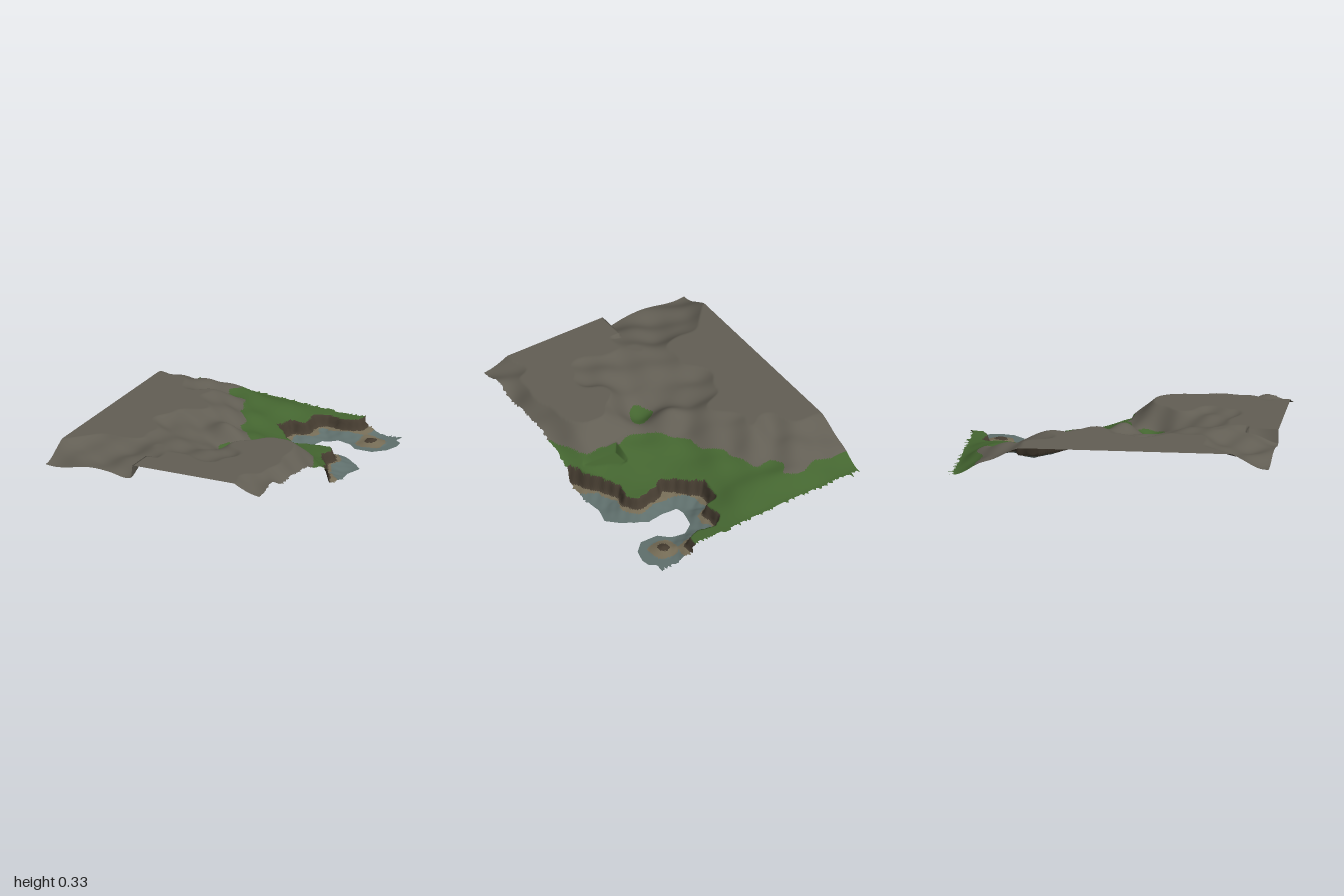
import * as THREE from 'three';

const X0 = -0.76, X1 = 0.76, Z0 = -0.95, Z1 = 1, NX = 152, NZ = 195, TOP = 0.33;

// Coarse land heights in hundredths: rows run back to front, columns left edge to right edge of the plan
const COLS = 11, ROWS = 13, LAND_X1 = 0.72;
const LAND = [
  15, 15, 14, 14, 13, 12, 11, 10, 10, 10, 10,
  22, 22, 23, 22, 18, 17, 12, 10, 10, 10, 10,
  29, 29, 28, 22, 20, 16, 11, 10, 10, 10, 10,
  35, 35, 29, 31, 23, 18, 13, 10, 10, 10, 10,
  36, 37, 36, 32, 28, 20, 15, 12, 11, 10, 10,
  37, 37, 37, 37, 31, 23, 19, 17, 15, 12, 10,
  37, 37, 37, 32, 27, 30, 23, 21, 21, 19, 12,
  37, 37, 36, 29, 28, 22, 20, 28, 35, 31, 20,
  37, 37, 37, 32, 30, 27, 27, 36, 38, 35, 24,
  37, 37, 36, 33, 32, 30, 31, 32, 36, 36, 26,
  37, 31, 29, 29, 32, 33, 32, 33, 35, 35, 26,
  29, 28, 26, 28, 30, 37, 37, 37, 37, 31, 31,
  24, 24, 27, 25, 26, 37, 37, 37, 37, 31, 27,
];

// Plan outlines as [x, z]: open water, and the low shore below the cliff
const SEA = [
  [0.7, -1.2], [0.7, -0.95], [0.69, -0.91], [0.735, -0.88], [0.745, -0.82], [0.72, -0.73], [0.65, -0.66],
  [0.53, -0.66], [0.47, -0.72], [0.38, -0.74], [0.3, -0.68], [0.27, -0.56], [0.28, -0.5],
  [0.4, -0.5], [0.5, -0.52], [0.58, -0.48], [0.66, -0.42], [0.72, -0.36], [0.69, -0.25],
  [0.713, -0.1], [0.713, 1.2], [1.5, 1.2], [1.5, -1.2],
];
const SHORE = [
  [0.45, -1.2], [0.45, -0.95], [0.44, -0.89], [0.37, -0.86], [0.24, -0.88], [0.17, -0.82], [0.18, -0.68],
  [0.09, -0.66], [0.08, -0.5], [0.15, -0.44], [0.21, -0.37], [0.29, -0.31], [0.35, -0.36], [0.5, -0.39],
  [0.54, -0.33], [0.52, -0.24], [0.58, -0.12], [0.64, -0.05], [0.67, 0.03], [0.7, 0.065], [1.5, 0.065], [1.5, -1.2],
];

// Nearest outline point and distance, positive inside
function probe(poly, x, z) {
  let best = Infinity, px = 0, pz = 0, inside = false;
  poly.forEach(([ax, az], i) => {
    const [bx, bz] = poly[(i + 1) % poly.length];
    const dx = bx - ax, dz = bz - az;
    const t = THREE.MathUtils.clamp(((x - ax) * dx + (z - az) * dz) / (dx * dx + dz * dz), 0, 1);
    const qx = ax + dx * t, qz = az + dz * t, d = Math.hypot(x - qx, z - qz);
    if (d < best) { best = d; px = qx; pz = qz; }
    if ((az > z) !== (bz > z) && x < ax + (z - az) / dz * dx) inside = !inside;
  });
  return { d: inside ? best : -best, x: px, z: pz };
}

const cubic = (a, b, c, d, t) =>
  b + 0.5 * t * (c - a + t * (2 * a - 5 * b + 4 * c - d + t * (3 * (b - c) + d - a)));

// Smooth land surface through the coarse heights
function landHeight(x, z) {
  const u = THREE.MathUtils.clamp((x - X0) / (LAND_X1 - X0), 0, 1) * (COLS - 1);
  const v = THREE.MathUtils.clamp((z - Z0) / (Z1 - Z0), 0, 1) * (ROWS - 1);
  const i = Math.min(Math.floor(u), COLS - 2), j = Math.min(Math.floor(v), ROWS - 2);
  const at = (c, r) => LAND[THREE.MathUtils.clamp(r, 0, ROWS - 1) * COLS + THREE.MathUtils.clamp(c, 0, COLS - 1)];
  const row = r => cubic(at(i - 1, r), at(i, r), at(i + 1, r), at(i + 2, r), u - i);
  const h = cubic(row(j - 1), row(j), row(j + 1), row(j + 2), v - j) / 100;
  const rough = THREE.MathUtils.smoothstep(h, 0.12, 0.22) * 0.006;
  return h + rough * (Math.sin(x * 23 + z * 9) + Math.sin(z * 27 - x * 13 + 1));
}

// Uneven distance past the cliff edge
const shoreDepth = (x, z) => probe(SHORE, x, z).d + 0.005 * Math.sin(x * 70) * Math.sin(z * 65);

// Land capped by the flat plateau, with a levelled pad and a sharp wall; a steep cliff drops to the beach
function height(x, z) {
  let land = Math.min(TOP, landHeight(x, z));
  if (x > 0.38 && x < 0.62 && z > -0.1 && z < 0.03) land = Math.min(land, 0.155);
  if (x > -0.165 && x < 0.3 && z > 0.8) land = TOP;
  const d = shoreDepth(x, z);
  if (d <= 0) return land;
  const beach = 0.045 * (1 - THREE.MathUtils.smoothstep(d, 0, 0.15));
  const mound = 0.03 * Math.max(0, 1 - Math.hypot(x - 0.58, z + 0.8) / 0.09);
  return THREE.MathUtils.lerp(land, beach + mound, THREE.MathUtils.smoothstep(d, 0, 0.025));
}

function kind(x, y, z) {
  const d = shoreDepth(x, z), streak = 0.01 * (Math.sin(x * 31 + 2) + Math.sin(z * 37));
  if (d > 0.035) {
    const islet = Math.hypot(x - 0.58, z + 0.8) + streak;
    if (islet < 0.05) return 'cliff';
    return d + streak < 0.06 || islet < 0.085 ? 'sand' : 'wetShore';
  }
  if (d > 0) return 'cliff';
  return y + streak * 0.5 < 0.215 && z < 0.3 ? 'grass' : 'rock';
}

const COLORS = { rock: 0x625e54, grass: 0x446530, cliff: 0x453c30, sand: 0x756c56, wetShore: 0x5f6f6c };

export function createModel() {
  let seed = 7;
  const rand = () => (seed = (seed * 16807) % 2147483647) / 2147483647;

  // Terrain grid, trimmed to the coast, with ragged back and right edges
  const pos = [], wet = [];
  for (let j = 0; j <= NZ; j++) {
    const spike = rand() ** 3 * 0.014;
    for (let i = 0; i <= NX; i++) {
      let x = X0 + (X1 - X0) * i / NX, z = Z0 + (Z1 - Z0) * j / NZ;
      const sea = probe(SEA, x, z);
      if (sea.d > 0) {
        x = sea.x + (sea.x > 0.7 && sea.z > -0.2 ? spike : 0);
        z = THREE.MathUtils.clamp(sea.z, Z0, Z1);
      }
      wet.push(sea.d);
      const y = height(x, z);
      if (j === 0) z -= i === 6 ? 0.05 : rand() ** 3 * 0.03;
      pos.push(x, Math.max(0, y), z);
    }
  }

  // Sort the triangles into ground types
  const faces = Object.fromEntries(Object.keys(COLORS).map(k => [k, []]));
  const all = [];
  const addFace = (a, b, c) => {
    if (Math.min(wet[a], wet[b], wet[c]) > 0) return;
    const mid = k => (pos[a * 3 + k] + pos[b * 3 + k] + pos[c * 3 + k]) / 3;
    faces[kind(mid(0), mid(1), mid(2))].push(a, b, c);
    all.push(a, b, c);
  };
  for (let j = 0; j < NZ; j++) for (let i = 0; i < NX; i++) {
    const a = j * (NX + 1) + i, b = a + 1, c = a + NX + 1, d = c + 1;
    addFace(a, c, b);
    addFace(b, c, d);
  }

  // Shared smooth normals keep the ground types seamless
  const whole = new THREE.BufferGeometry();
  whole.setAttribute('position', new THREE.Float32BufferAttribute(pos, 3));
  whole.setIndex(all);
  whole.computeVertexNormals();

  const group = new THREE.Group();
  group.name = 'coastalTerrain';
  for (const [name, index] of Object.entries(faces)) {
    const geo = new THREE.BufferGeometry();
    geo.setAttribute('position', whole.getAttribute('position'));
    geo.setAttribute('normal', whole.getAttribute('normal'));
    geo.setIndex(index);
    const mesh = new THREE.Mesh(geo, new THREE.MeshStandardMaterial({ color: COLORS[name], side: THREE.DoubleSide }));
    mesh.name = name;
    group.add(mesh);
  }
  return group;
}
